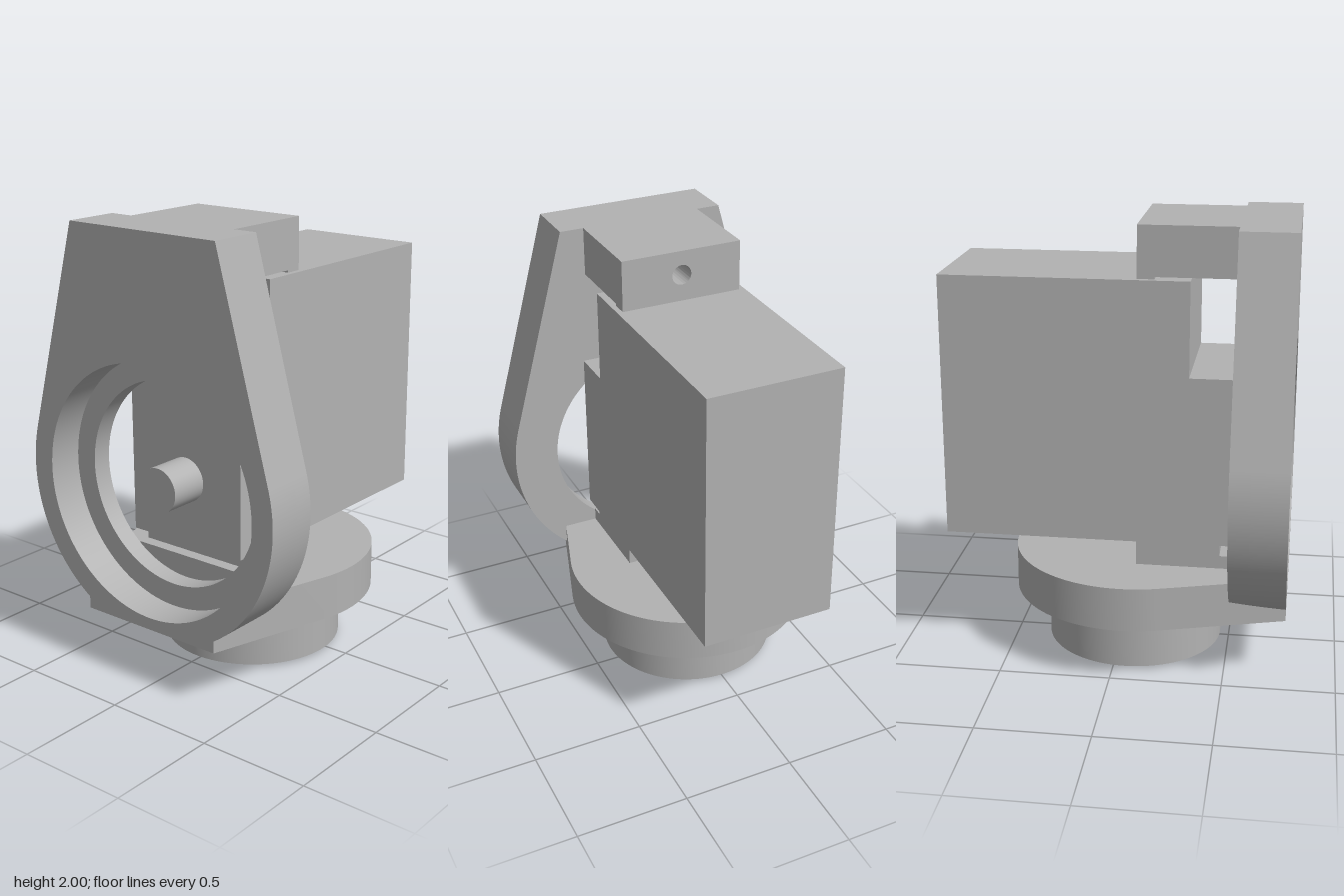
import * as THREE from 'three';
import { toCreasedNormals } from 'three/addons/utils/BufferGeometryUtils.js';

const AXIS_Y = 0.885; // height of the bore and shaft
const DISC_Z = 0.055; // z of the turntable axis

export function createModel() {
  const model = new THREE.Group();
  const grey = new THREE.MeshStandardMaterial({ color: 0xb2b2b2 });

  function add(name, geometry, x = 0, y = 0, z = 0) {
    const mesh = new THREE.Mesh(geometry, grey);
    mesh.name = name;
    mesh.position.set(x, y, z);
    model.add(mesh);
    return mesh;
  }
  const extrude = (shape, depth) => toCreasedNormals(
    new THREE.ExtrudeGeometry(shape, { depth, bevelEnabled: false, curveSegments: 64 }), 0.5);
  const polygon = (pts) => new THREE.Shape(pts.map(([a, b]) => new THREE.Vector2(a, b)));
  const circleHole = (r, y) => new THREE.Path().absarc(0, y, r, 0, Math.PI * 2, true);
  // (z, y) profile spread evenly about x = 0
  const sideProfile = (pts, width) =>
    extrude(polygon(pts), width).rotateY(-Math.PI / 2).translate(width / 2, 0, 0);
  // (x, z) outline hanging down from y = 0
  const slab = (shape, height) => extrude(shape, height).rotateX(Math.PI / 2);

  // Upright ring plate: wide bore in front, narrower hole behind
  function plateOutline(holeRadius) {
    const s = new THREE.Shape();
    const low = Math.atan2(-0.565, 0.36), tangent = 0.267;
    s.moveTo(-0.36, 0.265);
    s.lineTo(0.36, 0.265);
    s.absarc(0, AXIS_Y, 0.67, low, tangent, false);
    s.lineTo(0.39, 2);
    s.lineTo(-0.39, 2);
    s.absarc(0, AXIS_Y, 0.67, Math.PI - tangent, Math.PI - low, false);
    s.closePath();
    s.holes.push(circleHole(holeRadius, AXIS_Y));
    return s;
  }
  add('plateBack', extrude(plateOutline(0.46), 0.09), 0, 0, 0.52);
  add('plateFront', extrude(plateOutline(0.565), 0.16), 0, 0, 0.61);

  // Round base with sides tapering towards the plate
  const base = new THREE.Shape();
  base.moveTo(0.437, 0.52);
  base.lineTo(-0.437, 0.52);
  base.absarc(0, DISC_Z, 0.555, Math.PI - 0.3, Math.PI * 2 + 0.3, false);
  base.closePath();
  add('base', slab(base, 0.2), 0, 0.465, 0);
  for (const s of [-1, 1]) {
    const wedge = polygon([[s * 0.355, 0.52], [s * 0.437, 0.52], [s * 0.36, 0.77], [s * 0.355, 0.77]]);
    add('baseWedge', slab(wedge, 0.175), 0, 0.44, 0);
  }

  // Motor block with a stepped front and its output shaft
  add('motorBlock', sideProfile(
    [[-0.77, 0.585], [0.52, 0.585], [0.52, 1.35], [0.32, 1.35], [0.32, 1.77], [-0.77, 1.77]], 0.61));
  add('shaft', new THREE.CylinderGeometry(0.1, 0.1, 0.18, 48).rotateX(Math.PI / 2), 0, AXIS_Y, 0.61);

  // Upper clamp with a screw hole in its rear face
  const clamp = polygon([[-0.28, 1.78], [0.28, 1.78], [0.28, 2], [-0.28, 2]]);
  clamp.holes.push(circleHole(0.045, 1.89));
  add('upperClamp', extrude(clamp, 0.43), 0, 0, 0.09);
  add('upperClampLip', new THREE.BoxGeometry(0.56, 0.01, 0.075), 0, 1.775, 0.1275);

  // Lower clamp rising from the base
  add('lowerClamp', sideProfile([[0.09, 0.465], [0.52, 0.465], [0.52, 0.525], [0.465, 0.525],
    [0.465, 0.575], [0.165, 0.575], [0.165, 0.585], [0.09, 0.585]], 0.56));

  // Turntable below the base, with a toothed pocket round a hub
  add('flange', new THREE.CylinderGeometry(0.445, 0.445, 0.02, 72), 0, 0.255, DISC_Z);
  const drum = new THREE.Shape().absarc(0, 0, 0.405, 0, Math.PI * 2, false);
  const pocket = [];
  for (let i = 0; i < 6; i++) {
    for (const [offset, r] of [[-0.27, 0.31], [0.27, 0.31], [Math.PI / 6, 0.205]]) {
      const a = i * Math.PI / 3 + offset;
      pocket.push(new THREE.Vector2(r * Math.cos(a), r * Math.sin(a)));
    }
  }
  drum.holes.push(new THREE.Path(pocket));
  add('drum', slab(drum, 0.23), 0, 0.245, DISC_Z);
  add('hub', new THREE.CylinderGeometry(0.163, 0.163, 0.245, 48), 0, 0.1225, DISC_Z);

  // Small pointer tab under the front
  add('pointerTab', new THREE.BoxGeometry(0.16, 0.05, 0.008), 0, 0.24, 0.522);

  return model;
}
